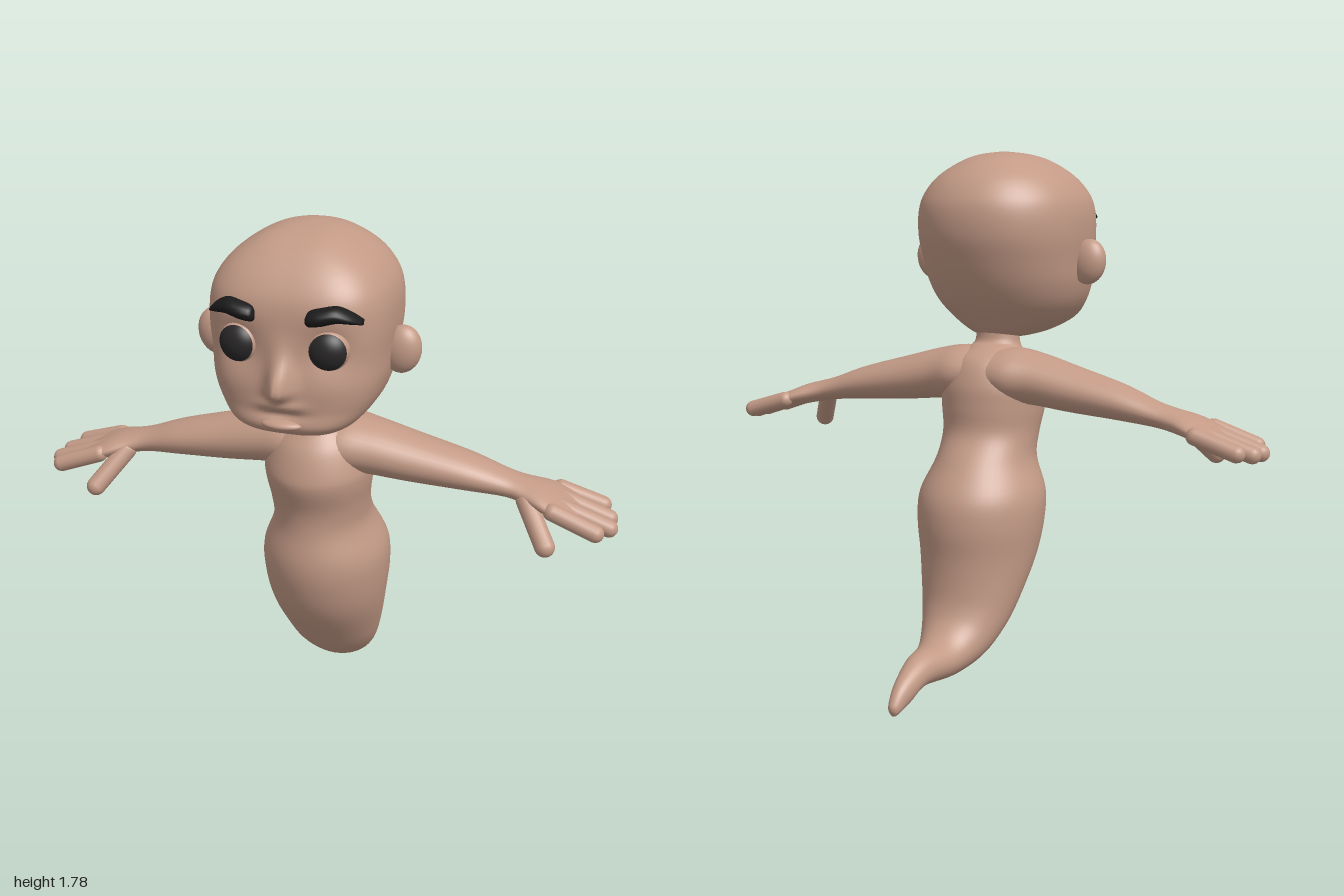
import * as THREE from 'three';

const skin = new THREE.MeshStandardMaterial({ color: 0xc39a86 });
skin.name = 'skin';
const eyeDark = new THREE.MeshStandardMaterial({ color: 0x292727 });
eyeDark.name = 'eyeDark';
const browBlack = new THREE.MeshStandardMaterial({ color: 0x1c1b1b });
browBlack.name = 'browBlack';

// Closed smooth skin through cross-sections; each row is splined column by column
function loft(rows, steps, segs, pointAt) {
  const columns = rows[0].map((_, c) =>
    new THREE.SplineCurve(rows.map((r) => new THREE.Vector2(r[c], 0))));
  const pos = [], index = [];
  for (let i = 0; i <= steps; i++) {
    const row = columns.map((c) => c.getPoint(i / steps).x);
    for (let j = 0; j < segs; j++) {
      const a = (j / segs) * Math.PI * 2;
      pos.push(...pointAt(row, Math.cos(a), Math.sin(a)));
    }
  }
  for (let i = 0; i < steps; i++) {
    for (let j = 0; j < segs; j++) {
      const k = (j + 1) % segs;
      const a = i * segs + j, b = i * segs + k, c = a + segs, d = b + segs;
      index.push(a, b, c, b, d, c);
    }
  }
  // end caps
  for (const [ring, flip] of [[0, true], [steps, false]]) {
    const mid = [0, 0, 0], n = pos.length / 3;
    for (let j = 0; j < segs; j++)
      for (let e = 0; e < 3; e++) mid[e] += pos[(ring * segs + j) * 3 + e] / segs;
    pos.push(...mid);
    for (let j = 0; j < segs; j++) {
      const a = ring * segs + j, b = ring * segs + ((j + 1) % segs);
      index.push(n, ...(flip ? [b, a] : [a, b]));
    }
  }
  // turn the faces outward if the signed volume is negative
  const v = (i) => new THREE.Vector3().fromArray(pos, i * 3);
  let volume = 0;
  for (let t = 0; t < index.length; t += 3)
    volume += v(index[t]).dot(v(index[t + 1]).cross(v(index[t + 2])));
  if (volume < 0) index.reverse();
  const g = new THREE.BufferGeometry();
  g.setAttribute('position', new THREE.Float32BufferAttribute(pos, 3));
  g.setIndex(index);
  g.computeVertexNormals();
  return g;
}

// Cross-sections along x: [x, yTop, yBottom, zBack, zFront]
const sideways = (side) => ([x, yT, yB, zB, zF], c, s) =>
  [side * x, (yT + yB) / 2 + (s * (yT - yB)) / 2, (zF + zB) / 2 + (c * (zF - zB)) / 2];

function add(parent, name, geometry, material) {
  const m = new THREE.Mesh(geometry, material);
  m.name = name;
  parent.add(m);
  return m;
}

function ellipsoid(parent, name, center, radii, material) {
  const m = add(parent, name, new THREE.SphereGeometry(1, 32, 20), material);
  m.position.set(...center);
  m.scale.set(...radii);
  return m;
}

// Rounded finger between two points
function digit(parent, name, from, to, radius) {
  const a = new THREE.Vector3(...from), b = new THREE.Vector3(...to);
  const dir = b.clone().sub(a);
  const m = add(parent, name, new THREE.CapsuleGeometry(radius, dir.length(), 8, 16), skin);
  m.position.copy(a).add(b).multiplyScalar(0.5);
  m.quaternion.setFromUnitVectors(new THREE.Vector3(0, 1, 0), dir.normalize());
}

// Neck, torso and curling tail: [zFront, yFront, zBack, yBack, halfWidth]
const BODY = [
  [0.22, 1.2, 0.09, 1.2, 0.075], [0.225, 1.13, 0.085, 1.14, 0.08], [0.24, 1.09, 0.05, 1.12, 0.1],
  [0.28, 1.03, -0.02, 1.08, 0.15], [0.305, 0.95, -0.055, 1.0, 0.18], [0.305, 0.9, -0.06, 0.92, 0.18],
  [0.275, 0.81, -0.065, 0.83, 0.168], [0.27, 0.73, -0.125, 0.74, 0.17], [0.285, 0.62, -0.195, 0.63, 0.213],
  [0.272, 0.52, -0.21, 0.53, 0.217], [0.225, 0.4, -0.2, 0.42, 0.202], [0.13, 0.27, -0.2, 0.33, 0.18],
  [0.03, 0.155, -0.21, 0.26, 0.155], [-0.1, 0.065, -0.24, 0.205, 0.122], [-0.25, 0.035, -0.3, 0.167, 0.085],
  [-0.42, 0.05, -0.42, 0.155, 0.052], [-0.5, 0.02, -0.53, 0.1, 0.035], [-0.56, 0.002, -0.58, 0.045, 0.02],
  [-0.575, 0.001, -0.585, 0.02, 0.007],
];

// Skull: [y, zFront, zBack, halfWidth]
const HEAD = [
  [1.785, 0.205, 0.195, 0.005], [1.775, 0.29, 0.11, 0.08], [1.75, 0.375, 0.03, 0.145],
  [1.7, 0.44, -0.045, 0.22], [1.64, 0.485, -0.09, 0.268], [1.58, 0.505, -0.108, 0.287],
  [1.5, 0.508, -0.105, 0.29], [1.42, 0.505, -0.08, 0.282], [1.34, 0.51, -0.045, 0.272],
  [1.27, 0.505, 0, 0.247], [1.21, 0.505, 0.05, 0.2], [1.17, 0.44, 0.085, 0.14],
  [1.15, 0.36, 0.12, 0.085], [1.14, 0.225, 0.215, 0.005],
];

const ARM = [
  [0.02, 1.11, 0.95, -0.03, 0.23], [0.1, 1.12, 0.93, -0.04, 0.24], [0.19, 1.105, 0.925, -0.02, 0.225],
  [0.32, 1.07, 0.912, -0.01, 0.205], [0.5, 1.02, 0.9, 0, 0.178], [0.62, 0.975, 0.89, 0.01, 0.15],
  [0.68, 0.957, 0.88, 0.005, 0.155], [0.75, 0.938, 0.865, -0.025, 0.185], [0.81, 0.912, 0.85, -0.045, 0.2],
  [0.85, 0.89, 0.842, -0.045, 0.2], [0.87, 0.875, 0.85, -0.03, 0.19],
];

const BROW = [
  [0.08, 1.58, 1.555, 0.47, 0.52], [0.09, 1.595, 1.546, 0.46, 0.533], [0.125, 1.605, 1.55, 0.45, 0.537],
  [0.17, 1.61, 1.56, 0.44, 0.525], [0.21, 1.59, 1.556, 0.42, 0.502], [0.238, 1.565, 1.55, 0.42, 0.468],
];

const bell = (d, width) => Math.exp(-((d / width) ** 2));

// Skull point: squarer at the face, with nose, lips and eye sockets pushed in and out
function headPoint([y, zF, zB, w], c, s) {
  const n = c > 0 ? 3.1 : 2.1;
  const r = 1 / (Math.abs(c) ** n + Math.abs(s) ** n) ** (1 / n);
  const x = w * r * s;
  let z = (zF + zB) / 2 + ((zF - zB) / 2) * r * c;
  if (c > 0) {
    const d = y - 1.345;
    z += 0.073 * bell(x, 0.036) * bell(d, d > 0 ? 0.095 : 0.036);
    z += 0.02 * bell(x, 0.06) * bell(y - 1.288, 0.018);
    z -= 0.012 * bell(x, 0.06) * bell(y - 1.256, 0.014);
    z -= 0.022 * bell(Math.hypot(Math.abs(x) - 0.138, y - 1.47), 0.065);
  }
  return [x, y, z];
}

export function createModel() {
  const model = new THREE.Group();
  model.name = 'tailedFigure';

  add(model, 'bodyAndTail', loft(BODY, 90, 48, ([zF, yF, zB, yB, w], c, s) =>
    [w * s, (yF + yB) / 2 + (c * (yF - yB)) / 2, (zF + zB) / 2 + (c * (zF - zB)) / 2]), skin);

  const head = new THREE.Group();
  head.name = 'head';
  model.add(head);
  add(head, 'skull', loft(HEAD, 110, 120, headPoint), skin);
  ellipsoid(head, 'lowerLip', [0, 1.226, 0.495], [0.068, 0.018, 0.038], skin);

  for (const side of [1, -1]) {
    const label = side > 0 ? 'left' : 'right';

    // face details
    const ear = ellipsoid(head, label + 'Ear', [side * 0.305, 1.412, 0.24], [0.062, 0.078, 0.045], skin);
    ear.rotation.z = -side * 0.15;
    const eye = new THREE.Group();
    eye.name = label + 'Eye';
    eye.position.set(side * 0.14, 1.47, 0.47);
    eye.rotation.y = side * 0.15;
    eye.scale.z = 0.8;
    head.add(eye);
    add(eye, 'eyeball', new THREE.SphereGeometry(0.064, 32, 24), skin);
    const iris = new THREE.SphereGeometry(0.0655, 32, 12, 0, Math.PI * 2, 0, 1.05);
    add(eye, 'iris', iris.rotateX(Math.PI / 2), eyeDark);
    add(head, label + 'Eyebrow', loft(BROW, 24, 20, sideways(side)), browBlack);

    // arm with palm, four fingers and a thumb
    const arm = new THREE.Group();
    arm.name = label + 'Arm';
    model.add(arm);
    add(arm, 'armAndPalm', loft(ARM, 60, 32, sideways(side)), skin);
    [[-0.02, -0.025, 0.93, 0.845], [0.042, 0.045, 0.96, 0.832],
      [0.108, 0.112, 0.968, 0.828], [0.172, 0.183, 0.932, 0.838]].forEach(([z0, z1, x, y], i) =>
      digit(arm, 'finger' + (i + 1), [side * 0.79, 0.888, z0], [side * x, y, z1], 0.029));
    digit(arm, 'thumb', [side * 0.7, 0.9, 0.135], [side * 0.782, 0.79, 0.228], 0.033);
  }
  return model;
}
